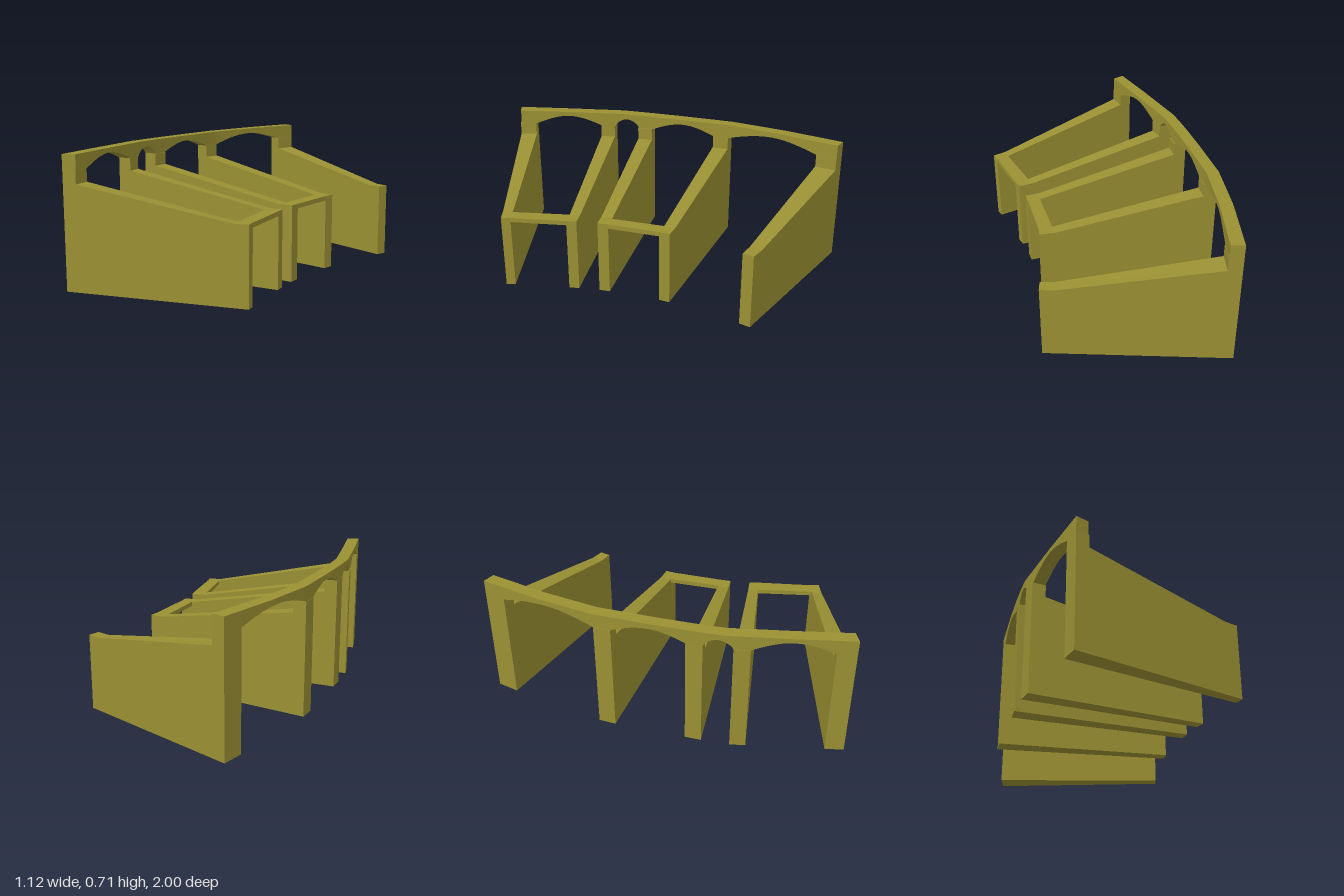
import * as THREE from 'three';
import { toCreasedNormals } from 'three/addons/utils/BufferGeometryUtils.js';

const material = new THREE.MeshStandardMaterial({ color: 0x9a9033 });
const LINTEL = 0.39, LOW = 0.415, SLOPE = 0.56, SPRING = 0.63, TOP = 0.71;

// Extrudes a (u, y) profile and fits it to a plan quad of [x, z] corners:
// a0-a1 is the edge with the lower z, b0-b1 the edge with the higher z.
function planSlab(name, profile, [a0, a1, b0, b1]) {
  const shape = new THREE.Shape(profile.map(p => new THREE.Vector2(...p)));
  const geo = new THREE.ExtrudeGeometry(shape, { depth: 1, bevelEnabled: false });
  const pos = geo.attributes.position;
  for (let i = 0; i < pos.count; i++) {
    const u = pos.getX(i), v = pos.getZ(i);
    const at = k => (a0[k] * (1 - u) + a1[k] * u) * (1 - v) + (b0[k] * (1 - u) + b1[k] * u) * v;
    pos.setXYZ(i, at(0), pos.getY(i), at(1));
  }
  geo.computeVertexNormals();
  const mesh = new THREE.Mesh(geo, material);
  mesh.name = name;
  return mesh;
}

// Plan curve of the arcade's outer face, as [z, x]
const plan = [[-1, -0.36], [-0.66, -0.46], [-0.34, -0.53], [-0.03, -0.55],
  [0.2, -0.56], [0.36, -0.56], [0.7, -0.51], [1, -0.46]];
function outerX(z) {
  let i = 0;
  while (i < plan.length - 2 && z > plan[i + 1][0]) i++;
  const [z0, x0] = plan[i], [z1, x1] = plan[i + 1];
  return x0 + (x1 - x0) * (z - z0) / (z1 - z0);
}

// Curved beam with an arched underside between the piers
function arcade() {
  const openings = [[-0.88, -0.335, 0.05, 1], [-0.24, 0.155, 0.05, 1],
    [0.245, 0.4, 0.048, 0.7], [0.485, 0.9, 0.055, 1]];
  const stations = [[-1, SPRING]];
  const steps = 14;
  for (const [z0, z1, rise, power] of openings) {
    for (let i = 0; i <= steps; i++) {
      const s = Math.max(0, Math.sin(Math.PI * i / steps));
      stations.push([z0 + (z1 - z0) * i / steps, SPRING + rise * Math.pow(s, power)]);
    }
  }
  stations.push([1, SPRING]);
  const n = stations.length - 1;
  const geo = new THREE.BoxGeometry(1, 1, 1, 1, 1, n);
  const pos = geo.attributes.position;
  for (let i = 0; i < pos.count; i++) {
    const [z, under] = stations[Math.round((pos.getZ(i) + 0.5) * n)];
    const inner = pos.getX(i) > 0;
    pos.setXYZ(i, outerX(z) + (inner ? 0.068 : 0), pos.getY(i) > 0 ? TOP : under, inner ? z * 0.975 : z);
  }
  const mesh = new THREE.Mesh(toCreasedNormals(geo, 0.6), material);
  mesh.name = 'arcade';
  return mesh;
}

export function createModel() {
  const group = new THREE.Group();
  group.name = 'arcadedWalls';

  // Walls: a tall pier at the back, then a top sloping down to the front
  const wallProfile = [[0, 0], [1, 0], [1, LOW], [0.92, LOW], [0.075, SLOPE], [0.075, SPRING], [0, SPRING]];
  const walls = [
    [[-0.36, -1], [0.56, -0.65], [-0.395, -0.88], [0.54, -0.59]],
    [[-0.53, -0.335], [0.435, -0.19], [-0.54, -0.24], [0.425, -0.13]],
    [[-0.555, 0.155], [0.41, 0.155], [-0.56, 0.245], [0.41, 0.215]],
    [[-0.56, 0.4], [0.42, 0.33], [-0.545, 0.485], [0.43, 0.385]],
    [[-0.477, 0.9], [0.472, 0.69], [-0.46, 1], [0.483, 0.74]],
  ];
  walls.forEach((quad, i) => group.add(planSlab('wall' + (i + 1), wallProfile, quad)));

  // Thin lintels joining the front ends of the paired walls
  const lintelProfile = [[0, LINTEL], [1, LINTEL], [1, LOW], [0, LOW]];
  group.add(planSlab('middleLintel', lintelProfile, [[0.35, -0.14], [0.425, -0.13], [0.34, 0.155], [0.41, 0.155]]));
  group.add(planSlab('frontLintel', lintelProfile, [[0.35, 0.39], [0.43, 0.385], [0.4, 0.705], [0.472, 0.69]]));

  group.add(arcade());
  return group;
}
